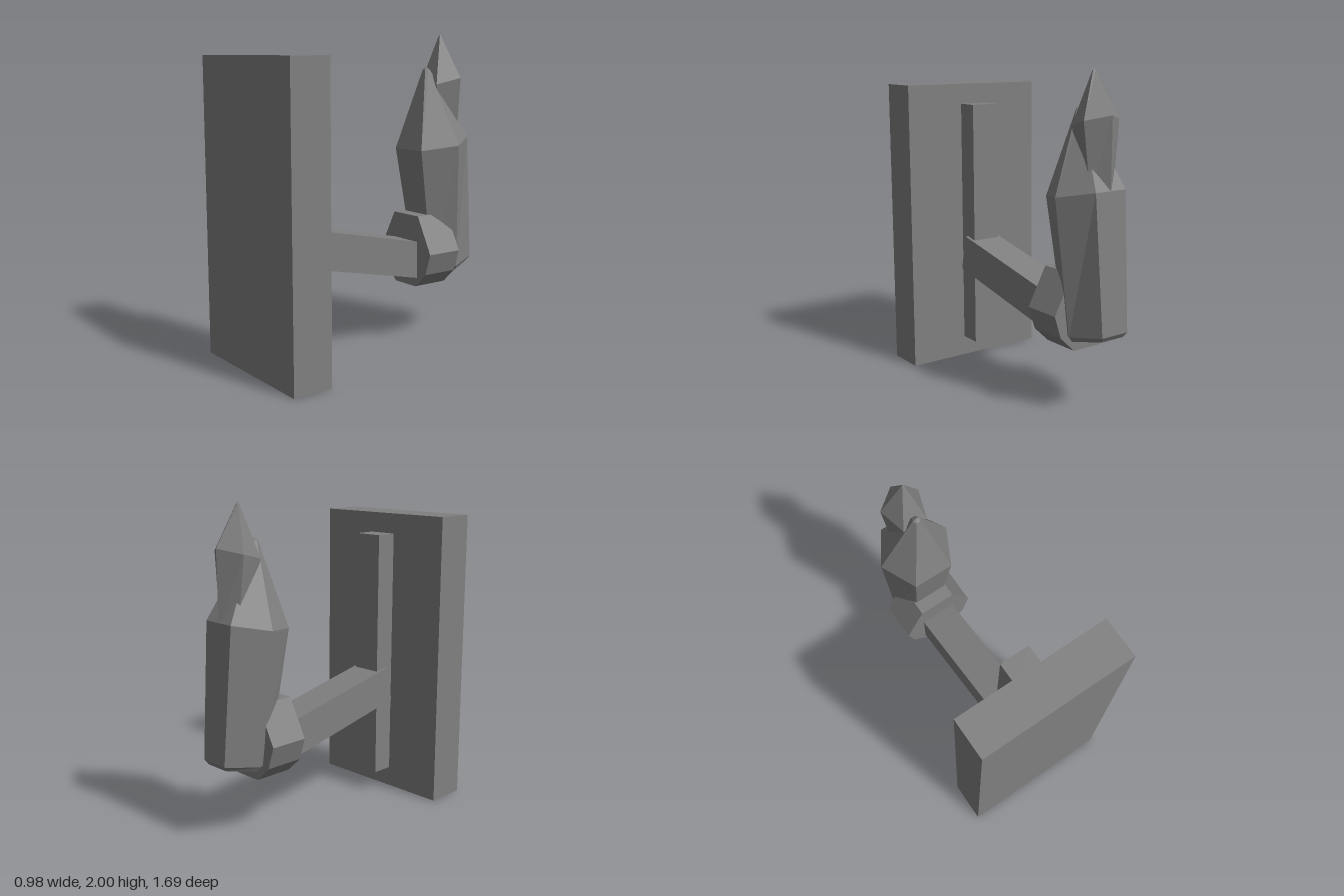
import * as THREE from 'three';

// Skin between rings of [x, y, z], lowest first, each counterclockwise from above
function loft(rings) {
  const pos = [];
  const n = rings[0].length;
  for (let r = 0; r < rings.length - 1; r++) {
    for (let i = 0; i < n; i++) {
      const j = (i + 1) % n;
      const a = rings[r][i], b = rings[r][j], c = rings[r + 1][i], d = rings[r + 1][j];
      pos.push(...a, ...b, ...d, ...a, ...d, ...c);
    }
  }
  const g = new THREE.BufferGeometry();
  g.setAttribute('position', new THREE.Float32BufferAttribute(pos, 3));
  g.computeVertexNormals();
  return g;
}

// Mirrored six-sided ring from its front, side and back corners
const hexRing = (f, s, b) => {
  const m = ([x, y, z]) => [-x, y, z];
  return [f, s, b, m(b), m(s), m(f)];
};

// Mirrored five-sided ring with one corner at the back
const pentRing = (f, s, b) => {
  const m = ([x, y, z]) => [-x, y, z];
  return [f, s, b, m(s), m(f)];
};

const point = (n, p) => Array.from({ length: n }, () => p);

export function createModel() {
  const group = new THREE.Group();
  const grey = new THREE.MeshStandardMaterial({ color: 0x808080, flatShading: true });
  grey.name = 'grey';

  const add = (name, geometry, x = 0, y = 0, z = 0) => {
    const mesh = new THREE.Mesh(geometry, grey);
    mesh.name = name;
    mesh.position.set(x, y, z);
    group.add(mesh);
    return mesh;
  };

  // Slab and the rail on its back
  add('panel', new THREE.BoxGeometry(0.98, 1.87, 0.256), 0, 0.935, 0.72);
  add('rail', new THREE.BoxGeometry(0.19, 1.61, 0.15), 0, 0.935, 0.525);

  // Sloping arm from the rail to the cuff
  const arm = add('arm', new THREE.BoxGeometry(0.23, 0.235, 1.03), 0, 0.632, 0.049);
  arm.rotation.x = -0.212;

  // Faceted cuff
  const half = [[0.12, 0.835], [0.245, 0.6], [0.2, 0.46], [0.1, 0.365]];
  const outline = [...half, ...half.map(([x, y]) => [-x, y]).reverse()];
  const cuffShape = new THREE.Shape(outline.map(([x, y]) => new THREE.Vector2(x, y)));
  add('cuff', new THREE.ExtrudeGeometry(cuffShape, { depth: 0.25, bevelEnabled: false }), 0, 0, -0.602);

  // Six-sided upright with a pointed top
  add('upright', loft([
    point(6, [0, 0.435, -0.66]),
    hexRing([0.08, 0.44, -0.52], [0.155, 0.445, -0.65], [0.08, 0.475, -0.825]),
    hexRing([0.09, 0.46, -0.5], [0.175, 0.475, -0.645], [0.095, 0.505, -0.845]),
    hexRing([0.13, 1.26, -0.368], [0.24, 1.29, -0.59], [0.11, 1.33, -0.787]),
    hexRing([0.012, 1.775, -0.495], [0.024, 1.78, -0.515], [0.012, 1.77, -0.54]),
    point(6, [0, 1.795, -0.513]),
  ]));

  // Five-sided spike rising behind the upright
  add('spike', loft([
    point(5, [0, 1.22, -0.7]),
    pentRing([0.05, 1.3, -0.62], [0.085, 1.3, -0.71], [0, 1.3, -0.787]),
    pentRing([0.08, 1.68, -0.535], [0.13, 1.72, -0.7], [0, 1.75, -0.79]),
    pentRing([0.008, 1.985, -0.622], [0.012, 1.985, -0.633], [0, 1.985, -0.641]),
    point(5, [0, 2, -0.63]),
  ]));

  return group;
}
